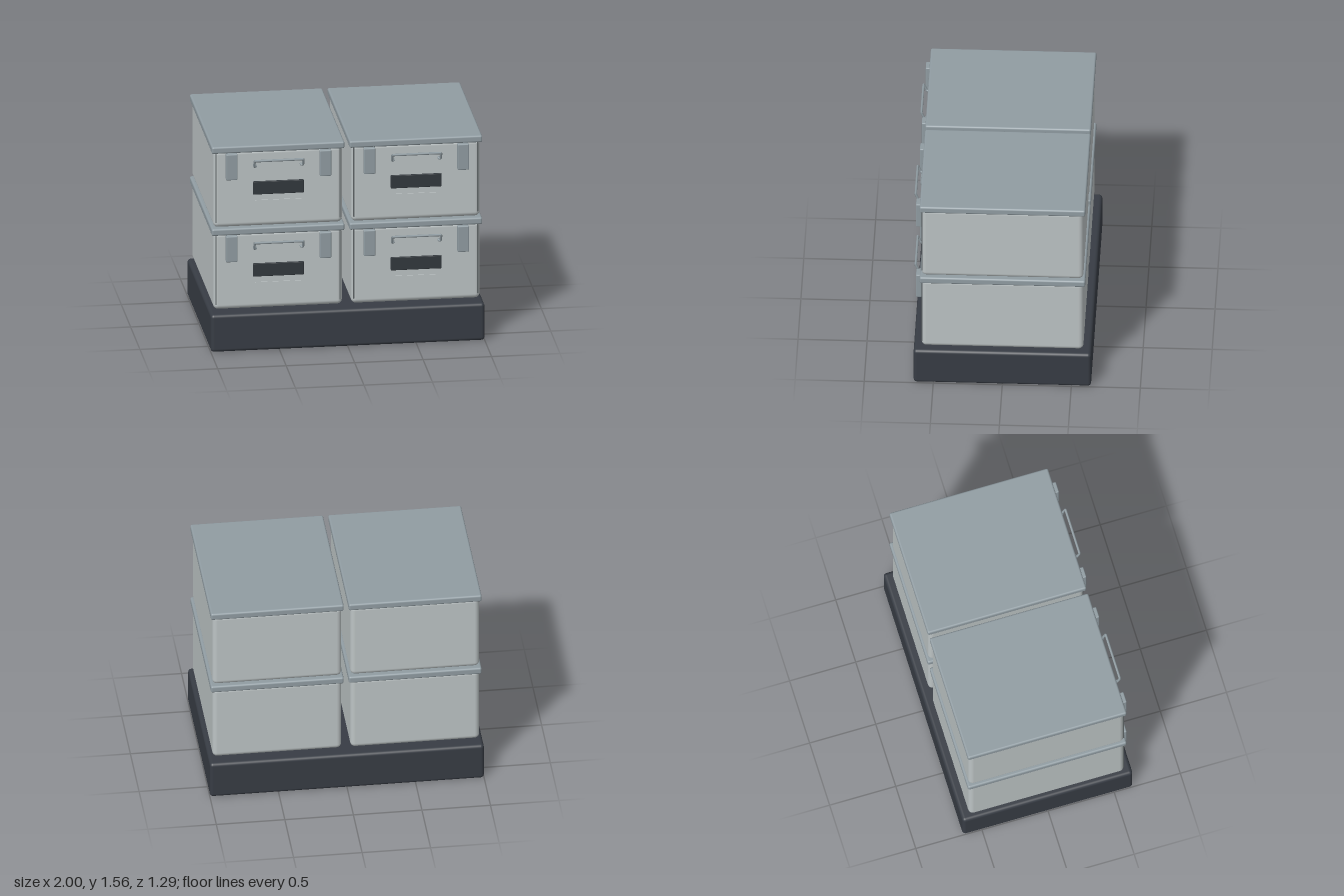
import * as THREE from 'three';
import { RoundedBoxGeometry } from 'three/addons/geometries/RoundedBoxGeometry.js';

function material(name, color) {
  const m = new THREE.MeshStandardMaterial({ color });
  m.name = name;
  return m;
}

export function createModel() {
  const charcoal = material('charcoal base', 0x373c44);
  const paleGrey = material('pale grey body', 0xbcc3c4);
  const steel = material('steel grey lid', 0x909ca2);
  const black = material('dark label', 0x32383d);
  const seam = material('seam grey', 0x606668);

  // Rounded block given by its limits: [min, max] on each axis
  function block(name, mat, [x0, x1], [y0, y1], [z0, z1], radius) {
    const w = x1 - x0, h = y1 - y0, d = z1 - z0;
    const geometry = radius
      ? new RoundedBoxGeometry(w, h, d, 4, radius)
      : new THREE.BoxGeometry(w, h, d);
    const mesh = new THREE.Mesh(geometry, mat);
    mesh.position.set((x0 + x1) / 2, (y0 + y1) / 2, (z0 + z1) / 2);
    mesh.name = name;
    return mesh;
  }

  // Bent wire handle: hooked feet, two arms and a long grip
  function makeHandle() {
    const half = [[0.165, 0.468, 0.59], [0.165, 0.468, 0.612], [0.178, 0.468, 0.618], [0.178, 0.518, 0.64]];
    const points = [
      ...half.map(([x, y, z]) => new THREE.Vector3(-x, y, z)),
      ...half.reverse().map(([x, y, z]) => new THREE.Vector3(x, y, z)),
    ];
    const path = new THREE.CurvePath();
    for (let i = 1; i < points.length; i++) path.add(new THREE.LineCurve3(points[i - 1], points[i]));
    const mesh = new THREE.Mesh(new THREE.TubeGeometry(path, 120, 0.009, 8), steel);
    mesh.name = 'handle';
    return mesh;
  }

  // One storage box, its origin at the bottom centre
  function makeBox() {
    const box = new THREE.Group();
    box.add(block('body', paleGrey, [-0.47, 0.47], [0, 0.59], [-0.586, 0.586], 0.035));
    box.add(block('lid', steel, [-0.485, 0.485], [0.57, 0.623], [-0.6, 0.6], 0.014));
    for (const side of [-1, 1]) {
      const x = side * 0.342, s = side * 0.4525;
      box.add(block('latch', steel, [x - 0.042, x + 0.042], [0.375, 0.573], [0.588, 0.63], 0.008));
      box.add(block('cornerSeam', seam, [s - 0.004, s + 0.004], [0.04, 0.57], [0.578, 0.586]));
    }
    box.add(makeHandle());
    box.add(block('darkLabel', black, [-0.185, 0.185], [0.253, 0.351], [0.596, 0.615], 0.004));
    box.add(block('labelPlate', paleGrey, [-0.17, 0.17], [0.112, 0.202], [0.584, 0.592]));
    return box;
  }

  const model = new THREE.Group();
  model.name = 'stackedStorageBoxes';
  model.add(block('base', charcoal, [-1, 1], [0, 0.285], [-0.643, 0.643], 0.025));

  // Two columns of two boxes
  for (const x of [-0.503, 0.503]) {
    for (const [name, y] of [['lowerBox', 0.305], ['upperBox', 0.933]]) {
      const box = makeBox();
      box.name = name;
      box.position.set(x, y, 0);
      model.add(box);
    }
  }
  return model;
}
